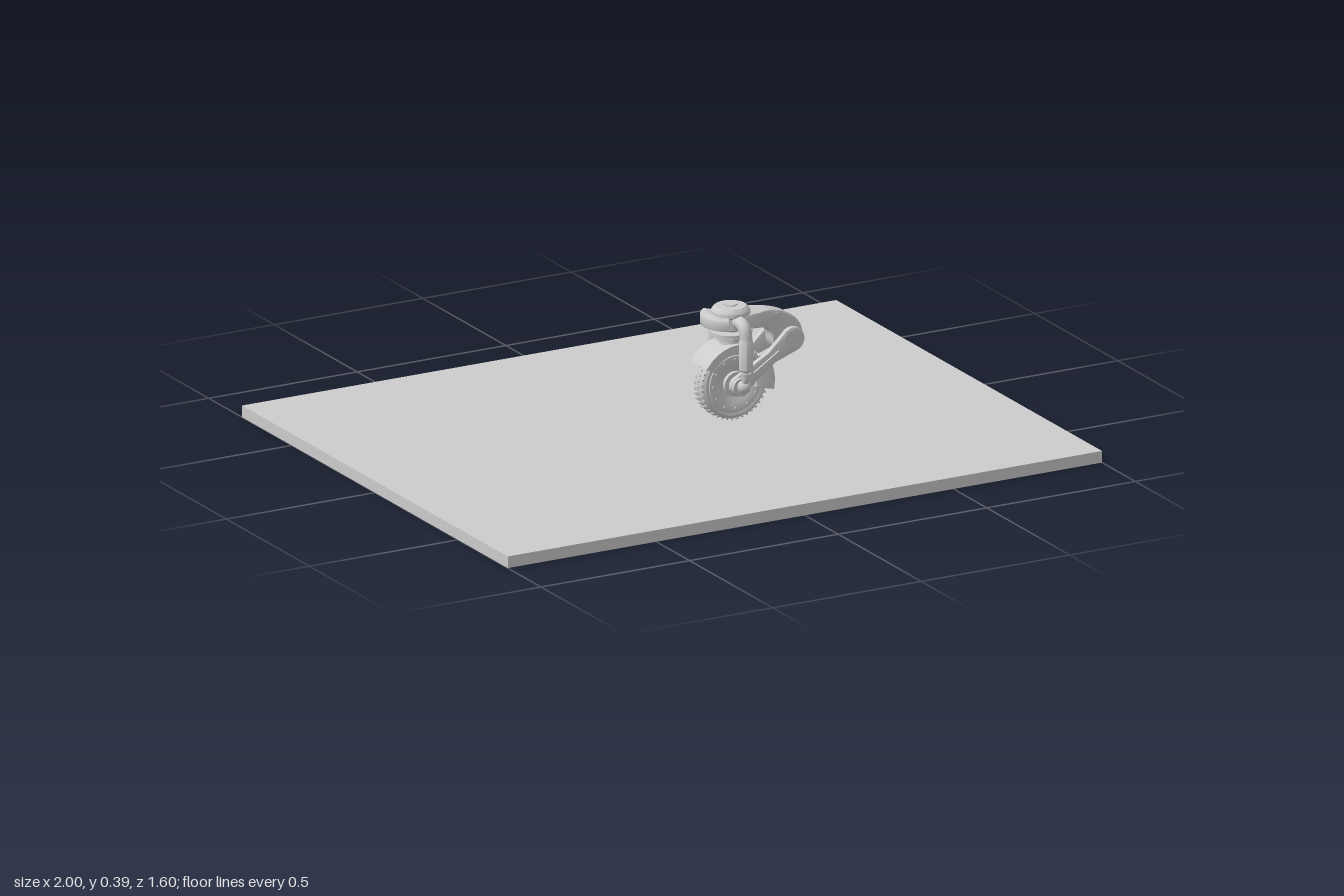
import * as THREE from 'three';
import { toCreasedNormals } from 'three/addons/utils/BufferGeometryUtils.js';

const V = (x, y, z) => new THREE.Vector3(x, y, z);
const P = (x, y) => new THREE.Vector2(x, y);
const HUB = 0.15; // wheel centre height
const PIVOT = [0.18, 0.266];

export function createModel() {
  const root = new THREE.Group();
  const mat = new THREE.MeshStandardMaterial({ color: 0xcccccc, side: THREE.DoubleSide });
  const unit = new THREE.Group();
  unit.name = 'wheelAssembly';
  unit.position.x = 0.197;
  root.add(unit);

  const add = (name, geo, x = 0, y = 0, z = 0, parent = unit) => {
    const m = new THREE.Mesh(geo, mat);
    m.name = name;
    m.position.set(x, y, z);
    parent.add(m);
    return m;
  };
  const lathe = (pts, seg = 40) =>
    toCreasedNormals(new THREE.LatheGeometry(pts.map(p => P(...p)), seg), 0.6);
  const axle = (r, len, seg = 28) => new THREE.CylinderGeometry(r, r, len, seg).rotateX(Math.PI / 2);
  const slab = (shape, depth, bevel = 0) => toCreasedNormals(new THREE.ExtrudeGeometry(shape, {
    depth: depth - 2 * bevel, bevelEnabled: bevel > 0, bevelSize: bevel, bevelThickness: bevel,
    bevelOffset: -bevel, bevelSegments: 2, curveSegments: 20,
  }).translate(0, 0, bevel - depth / 2), 0.6);
  const arcBand = (r0, r1, a0, a1) => {
    const s = new THREE.Shape();
    s.absarc(0, 0, r1, a0, a1, false);
    s.absarc(0, 0, r0, a1, a0, true);
    s.closePath();
    return s;
  };
  const deg = THREE.MathUtils.degToRad;

  // Ground plate
  add('basePlate', new THREE.BoxGeometry(2, 0.036, 1.6), 0, 0.018, 0, root);

  // Wheel: tyre, tread blocks, rim discs, bolts and hub
  const wheel = new THREE.Group();
  wheel.name = 'wheel';
  wheel.position.y = HUB;
  unit.add(wheel);
  add('tyre', lathe([[0.084, -0.026], [0.098, -0.029], [0.107, -0.024], [0.111, -0.012], [0.112, 0],
    [0.111, 0.012], [0.107, 0.024], [0.098, 0.029], [0.084, 0.026], [0.084, -0.026]], 56).rotateX(Math.PI / 2),
  0, 0, 0, wheel);
  const block = new THREE.BoxGeometry(0.006, 0.006, 0.016);
  for (let i = 0; i < 40; i++) for (const row of [-1, 0, 1]) {
    const a = (i + (row ? 0.5 : 0)) * Math.PI / 20;
    const r = row ? 0.109 : 0.1115;
    const b = add('treadBlock', block, r * Math.cos(a), r * Math.sin(a), row * 0.018, wheel);
    b.rotation.z = a;
  }
  add('rim', lathe([[0, -0.022], [0.05, -0.022], [0.062, -0.03], [0.086, -0.03], [0.089, -0.026],
    [0.089, 0.026], [0.086, 0.03], [0.062, 0.03], [0.05, 0.022], [0, 0.022]], 48).rotateX(Math.PI / 2), 0, 0, 0, wheel);
  add('hub', axle(0.038, 0.07), 0, 0, 0, wheel);
  add('axle', axle(0.013, 0.17), 0, 0, 0, wheel);
  for (const s of [-1, 1]) {
    for (let i = 0; i < 12; i++) {
      const a = i * Math.PI / 6;
      add('rimBolt', axle(0.004, 0.006, 8), 0.076 * Math.cos(a), 0.076 * Math.sin(a), s * 0.031, wheel);
    }
    add('hubCap', axle(0.028, 0.014), 0, 0, s * 0.062, wheel);
    add('axleNut', axle(0.019, 0.014, 6), 0, 0, s * 0.078, wheel);
  }

  // Mudguard over the wheel with side lips, and a brake housing behind
  add('mudguard', slab(arcBand(0.118, 0.126, deg(62), deg(148)), 0.1), 0, HUB);
  for (const s of [-1, 1])
    add('mudguardLip', slab(arcBand(0.1, 0.126, deg(62), deg(148)), 0.008), 0, HUB, s * 0.046);
  add('brakeBand', slab(arcBand(0.116, 0.124, deg(-14), deg(30)), 0.09), 0, HUB);
  for (const s of [-1, 1])
    add('brakeCaliper', slab(arcBand(0.06, 0.122, deg(-14), deg(28)), 0.014, 0.003), 0, HUB, s * 0.044);

  // Steering head: cap, column and bearing discs
  add('headCap', lathe([[0, 0.386], [0.046, 0.386], [0.052, 0.381], [0.058, 0.372], [0.058, 0.362],
    [0.046, 0.355], [0.046, 0.32], [0.032, 0.312], [0, 0.312]].reverse()));
  add('capBolt', new THREE.CylinderGeometry(0.02, 0.02, 0.006, 6), 0, 0.387);
  add('column', new THREE.CylinderGeometry(0.03, 0.036, 0.06, 28), 0, 0.292);
  add('upperDisc', new THREE.CylinderGeometry(0.064, 0.064, 0.009, 36), 0, 0.306);
  add('lowerDisc', new THREE.CylinderGeometry(0.046, 0.046, 0.009, 36), 0, 0.29);

  // Curved front bumper around the head
  add('headShield', slab(arcBand(0.05, 0.09, deg(122), deg(238)), 0.034, 0.004).rotateX(-Math.PI / 2), 0, 0.347);

  // Upper arm: flows from a wide head to a narrow knuckle
  const arm = new THREE.Shape();
  arm.moveTo(0, 0.362);
  arm.lineTo(0.08, 0.362);
  arm.bezierCurveTo(0.16, 0.362, 0.228, 0.325, 0.23, 0.27);
  arm.absarc(...PIVOT, 0.05, 0, -Math.PI, true);
  arm.bezierCurveTo(0.13, 0.305, 0.09, 0.314, 0.04, 0.318);
  arm.lineTo(0, 0.318);
  arm.closePath();
  const armGeo = new THREE.ExtrudeGeometry(arm, {
    depth: 0.09, bevelEnabled: true, bevelSize: 0.006, bevelThickness: 0.005,
    bevelOffset: -0.006, bevelSegments: 2, curveSegments: 20,
  }).translate(0, 0, -0.045);
  const pos = armGeo.attributes.position;
  for (let i = 0; i < pos.count; i++) {
    const t = THREE.MathUtils.smoothstep(pos.getX(i), 0.03, 0.15);
    pos.setZ(i, pos.getZ(i) * THREE.MathUtils.lerp(1, 0.46, t));
  }
  add('upperArm', toCreasedNormals(armGeo, 0.6));

  // Lower fork legs from the knuckle to the hub
  const [px, py] = [PIVOT[0], PIVOT[1] - HUB];
  const dir = Math.atan2(py, px), len = Math.hypot(px, py);
  const leg = new THREE.Shape();
  leg.absarc(0, 0, 0.03, deg(90), deg(270), false);
  leg.lineTo(len * 0.6, -0.019);
  leg.absarc(len, 0, 0.038, deg(-110), deg(110), false);
  leg.lineTo(len * 0.6, 0.022);
  leg.closePath();
  add('pivotPin', axle(0.018, 0.112), ...PIVOT);
  for (const s of [-1, 1]) {
    const m = add('forkLeg', slab(leg, 0.018, 0.004), 0, HUB, s * 0.049);
    m.rotation.z = dir;
    m.rotation.y = 0;
    add('pivotCap', axle(0.03, 0.01), PIVOT[0], PIVOT[1], s * 0.054);
    add('legRib', new THREE.BoxGeometry(0.1, 0.014, 0.012), px * 0.5, HUB + py * 0.5, s * 0.058).rotation.z = dir;
  }

  // Side struts: elbow tube, sleeve and ball link down to the axle
  for (const s of [-1, 1]) {
    const path = new THREE.CatmullRomCurve3([V(0, 0.347, s * 0.03), V(0, 0.346, s * 0.066),
      V(0, 0.335, s * 0.085), V(0, 0.305, s * 0.093), V(0, 0.27, s * 0.093)]);
    add('strutElbow', new THREE.TubeGeometry(path, 24, 0.019, 20), 0, 0, 0);
    add('strutSleeve', lathe([[0, 0.208], [0.017, 0.208], [0.021, 0.213], [0.021, 0.3], [0.018, 0.306], [0, 0.306]], 24),
      0, 0, s * 0.093);
    add('strutRod', new THREE.TubeGeometry(new THREE.CatmullRomCurve3([V(0, 0.21, s * 0.092),
      V(0, 0.185, s * 0.091), V(0, 0.155, s * 0.078)]), 10, 0.011, 14));
    add('strutCollar', new THREE.CylinderGeometry(0.016, 0.014, 0.016, 20), 0, 0.194, s * 0.092);
    add('strutBall', new THREE.SphereGeometry(0.02, 20, 14), 0, 0.156, s * 0.082);
  }
  return root;
}
